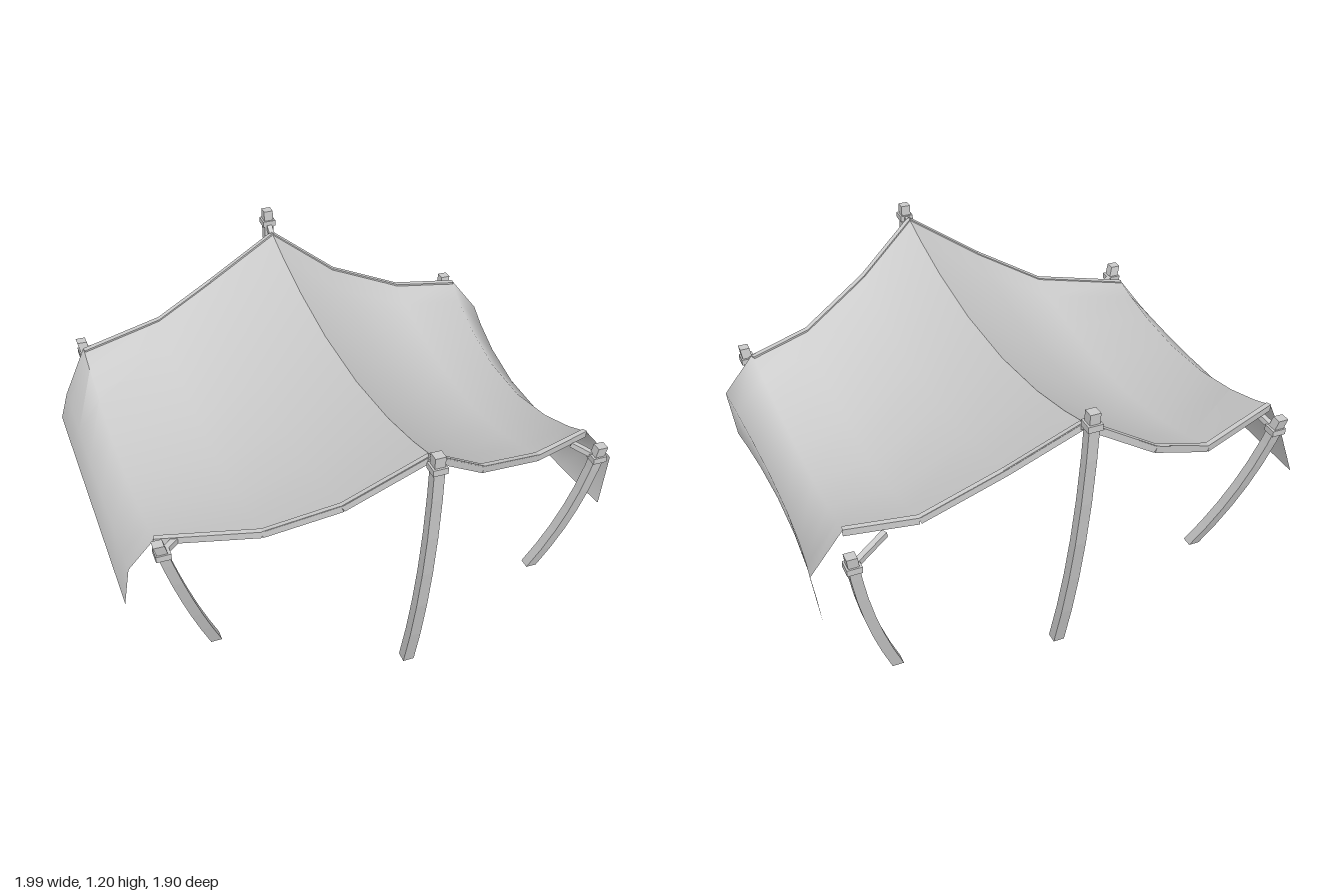
import * as THREE from 'three';
import { toCreasedNormals } from 'three/addons/utils/BufferGeometryUtils.js';

const cloth = new THREE.MeshStandardMaterial({ color: 0xcccccc, side: THREE.DoubleSide });
const wood = new THREE.MeshStandardMaterial({ color: 0xcccccc, flatShading: true });
const lerp = THREE.MathUtils.lerp;

// canopy ribs: x, front y, front z, back y, back z, sag in y, pull-in in x at mid length
const RIBS = [
  [-1.0, 0.49, 0.55, 0.49, -0.69, 0, 0],
  [-0.97, 0.63, 0.53, 0.64, -0.64, 0.03, 0],
  [-0.87, 0.77, 0.56, 0.83, -0.67, 0.11, 0],
  [-0.51, 0.80, 0.69, 0.83, -0.81, 0.13, 0],
  [-0.25, 0.93, 0.80, 0.94, -0.87, 0.14, 0],
  [0.04, 1.12, 0.87, 1.12, -0.87, 0.145, 0],
  [0.29, 0.94, 0.78, 0.94, -0.79, 0.145, 0],
  [0.60, 0.81, 0.64, 0.81, -0.765, 0.15, 0],
  [0.86, 0.79, 0.545, 0.80, -0.71, 0.15, 0.03],
  [0.99, 0.63, 0.545, 0.63, -0.71, 0.10, 0.05],
  [0.96, 0.41, 0.555, 0.41, -0.705, 0, 0.04],
];
const ROWS = [-1, -0.82, -0.56, -0.2, 0.2, 0.56, 0.82, 1];

// point on the canopy at rib i, t from -1 (back) to 1 (front)
function canopyPoint(i, t) {
  const [x, yF, zF, yB, zB, sag, pull] = RIBS[i];
  const k = (t + 1) / 2, dip = 1 - t * t;
  return new THREE.Vector3(x - pull * dip, lerp(yB, yF, k) - sag * dip, lerp(zB, zF, k));
}

function canopy() {
  const geo = new THREE.PlaneGeometry(1, 1, RIBS.length - 1, ROWS.length - 1);
  ROWS.forEach((t, r) => RIBS.forEach((_, i) => {
    const p = canopyPoint(i, t);
    geo.attributes.position.setXYZ(r * RIBS.length + i, p.x, p.y, p.z);
  }));
  const mesh = new THREE.Mesh(toCreasedNormals(geo, 1.0), cloth);
  mesh.name = 'canopy';
  return mesh;
}

// straight bar between two points
function bar(name, a, b, w, h) {
  const mesh = new THREE.Mesh(new THREE.BoxGeometry(w, h, a.distanceTo(b)), wood);
  mesh.position.copy(a).lerp(b, 0.5);
  mesh.lookAt(b);
  mesh.name = name;
  return mesh;
}

// bowed square post: top, middle and bottom are [x, y, z], with the middle at half height
function post(name, top, mid, bottom, tie) {
  const group = new THREE.Group();
  group.name = name;
  const at = (s) => [0, 2].map((c) =>
    bottom[c] * (1 - s) * (1 - 2 * s) + mid[c] * 4 * s * (1 - s) + top[c] * s * (2 * s - 1));
  const geo = new THREE.BoxGeometry(0.042, 1, 0.042, 1, 6, 1);
  const pos = geo.attributes.position;
  for (let i = 0; i < pos.count; i++) {
    const s = pos.getY(i) + 0.5, [x, z] = at(s), grow = lerp(1.05, 0.95, s);
    pos.setXYZ(i, x + pos.getX(i) * grow, lerp(bottom[1], top[1], s), z + pos.getZ(i) * grow);
  }
  const shaft = new THREE.Mesh(geo, wood);
  shaft.name = 'shaft';

  // collar near the top and the strut that ties it to the canopy
  const y = top[1] - 0.055;
  const [cx, cz] = at((y - bottom[1]) / (top[1] - bottom[1]));
  const collar = new THREE.Mesh(new THREE.BoxGeometry(0.056, 0.025, 0.056), wood);
  collar.position.set(cx, y, cz);
  collar.name = 'collar';
  group.add(shaft, collar, bar('strut', new THREE.Vector3(cx, y, cz), new THREE.Vector3(...tie), 0.022, 0.022));
  return group;
}

export function createModel() {
  const model = new THREE.Group();
  model.name = 'canopyShelter';
  model.add(canopy());

  // hems under the front and back edges
  for (const side of [1, -1]) {
    const hem = new THREE.Group();
    hem.name = side > 0 ? 'frontHem' : 'backHem';
    const edge = (i) => canopyPoint(i, side).add(new THREE.Vector3(0, -0.015, -0.012 * side));
    for (let i = 2; i < 8; i++) hem.add(bar('hemStrip', edge(i), edge(i + 1), 0.02, 0.028));
    model.add(hem);
  }

  // tall ridge posts and four corner posts
  model.add(
    post('frontRidgePost', [0.04, 1.16, 0.92], [0.04, 0.6, 0.873], [0.04, 0.04, 0.75], [0.04, 1.1, 0.86]),
    post('backRidgePost', [0.04, 1.2, -0.925], [0.04, 0.6, -0.862], [0.04, 0, -0.72], [0.04, 1.1, -0.86]),
    post('frontRightPost', [-0.875, 0.81, 0.635], [-0.78, 0.47, 0.57], [-0.66, 0.13, 0.475], [-0.79, 0.76, 0.57]),
    post('frontLeftPost', [0.875, 0.78, 0.635], [0.81, 0.45, 0.585], [0.7, 0.12, 0.505], [0.79, 0.76, 0.56]),
    post('backRightPost', [-0.865, 0.82, -0.75], [-0.78, 0.47, -0.67], [-0.66, 0.13, -0.55], [-0.83, 0.79, -0.67]),
    post('backLeftPost', [0.87, 0.77, -0.815], [0.81, 0.45, -0.77], [0.7, 0.12, -0.71], [0.72, 0.76, -0.735]),
  );
  return model;
}
